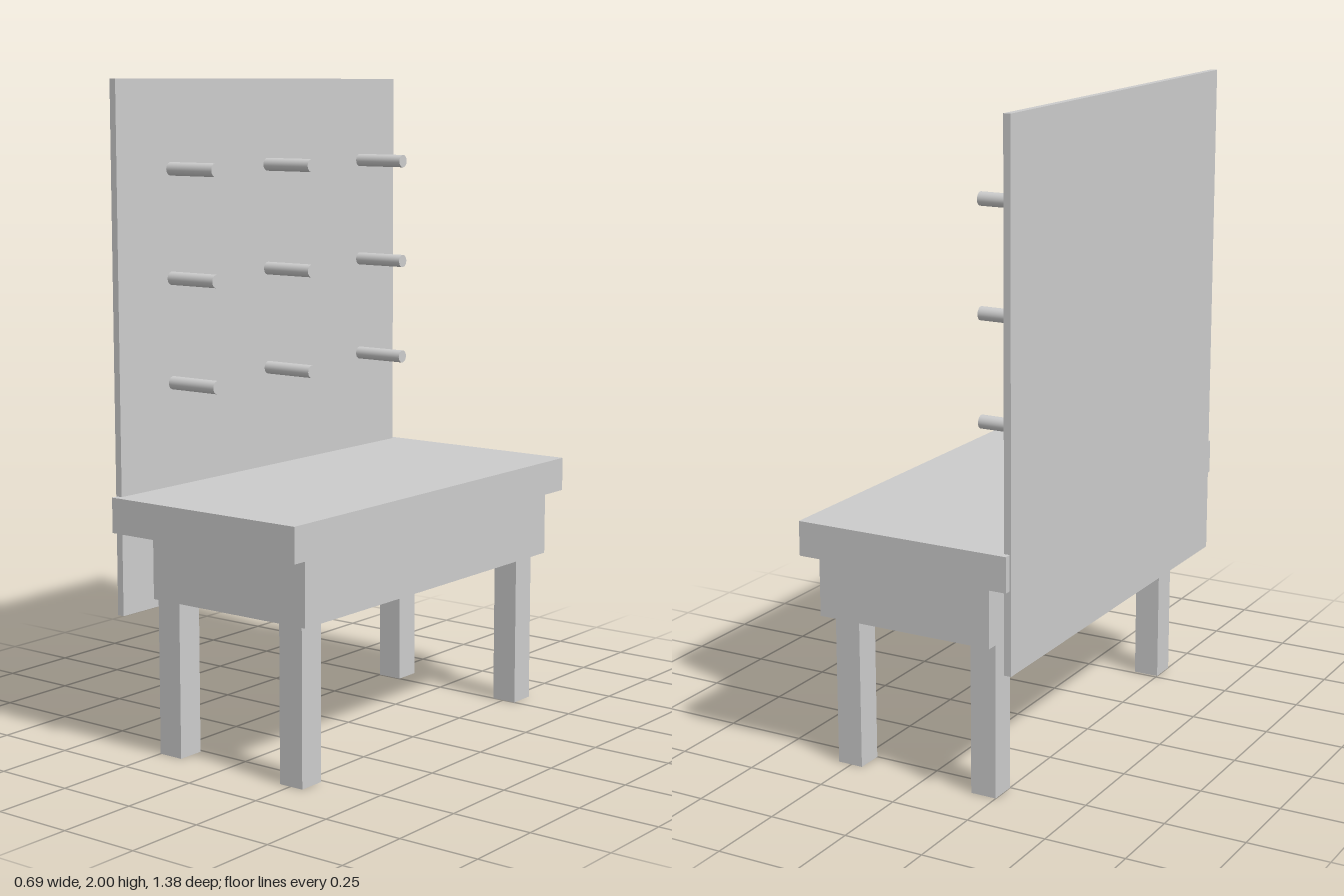
import * as THREE from 'three';

export function createModel() {
  const model = new THREE.Group();
  const material = new THREE.MeshStandardMaterial({ color: 0xcccccc });

  // Box given by its extents along each axis
  function box(name, [x0, x1], [y0, y1], [z0, z1]) {
    const mesh = new THREE.Mesh(new THREE.BoxGeometry(x1 - x0, y1 - y0, z1 - z0), material);
    mesh.position.set((x0 + x1) / 2, (y0 + y1) / 2, (z0 + z1) / 2);
    mesh.name = name;
    model.add(mesh);
  }

  // Bench: thick top over a recessed apron
  box('benchTop', [-0.344, 0.344], [0.678, 0.784], [-0.692, 0.69]);
  box('apron', [-0.255, 0.318], [0.477, 0.678], [-0.63, 0.612]);

  // Four square legs
  for (const x of [[-0.25, -0.168], [0.212, 0.294]]) {
    for (const z of [[-0.586, -0.5], [0.51, 0.597]]) box('leg', x, [0, 0.477], z);
  }

  // Tall thin back board
  box('backBoard', [-0.348, -0.326], [0.425, 2], [-0.67, 0.668]);

  // Three by three grid of round pegs
  const pegGeometry = new THREE.CylinderGeometry(0.02, 0.02, 0.18, 32).rotateZ(Math.PI / 2);
  for (const y of [1.098, 1.412, 1.736]) {
    for (const z of [-0.485, -0.01, 0.437]) {
      const peg = new THREE.Mesh(pegGeometry, material);
      peg.position.set(-0.24, y, z);
      peg.name = 'peg';
      model.add(peg);
    }
  }
  return model;
}
